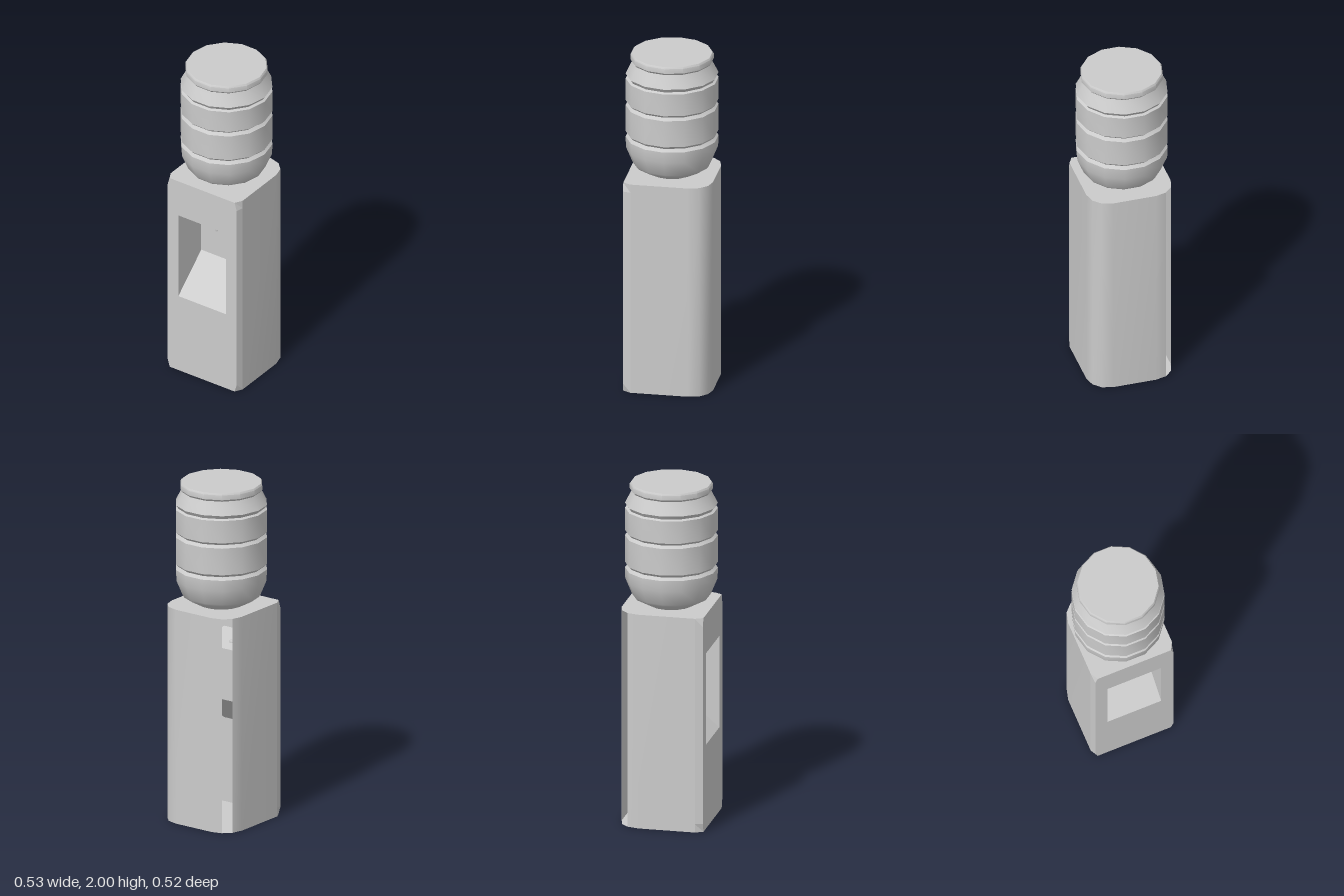
import * as THREE from 'three';
import { toCreasedNormals } from 'three/addons/utils/BufferGeometryUtils.js';

const H = 1.275, FRONT = 0.24;
const grey = new THREE.MeshStandardMaterial({ color: 0xcccccc, side: THREE.DoubleSide });

function add(group, name, geometry) {
  const mesh = new THREE.Mesh(geometry, grey);
  mesh.name = name;
  group.add(mesh);
  return mesh;
}

// Strip of quads between [bottom, top] point pairs, listed left to right as seen from outside
function strip(pairs, flat = true) {
  const index = [];
  for (let i = 0; i < pairs.length - 1; i++) {
    const a = 2 * i;
    index.push(a, a + 2, a + 3, a, a + 3, a + 1);
  }
  let geo = new THREE.BufferGeometry();
  geo.setAttribute('position', new THREE.Float32BufferAttribute(pairs.flat(2), 3));
  geo.setIndex(index);
  if (flat) geo = geo.toNonIndexed();
  geo.computeVertexNormals();
  return geo;
}

const upright = ([x, z]) => [[x, 0, z], [x, H, z]];

function createCabinet() {
  const g = new THREE.Group();
  g.name = 'cabinet';

  // Sides and rounded back, with a narrow open slot at one rear corner
  const corner = [[0.25, -0.135], [0.233, -0.2], [0.19, -0.243], [0.127, -0.26]];
  const mirrored = corner.map(([x, z]) => [-x, z]).reverse();
  const leftEnd = [0.25, 0.195], rightEnd = [-0.25, 0.195];
  add(g, 'sideAndBackWall', strip([leftEnd, ...corner, ...mirrored.slice(0, 2)].map(upright), false));
  add(g, 'oppositeSideWall', strip([...mirrored.slice(2), rightEnd].map(upright), false));

  // Top deck and floor
  const outline = [[-0.225, FRONT], [0.225, FRONT], leftEnd, ...corner, ...mirrored, rightEnd];
  const plan = new THREE.Shape(outline.map(([x, z]) => new THREE.Vector2(x, -z)));
  add(g, 'topDeck', new THREE.ShapeGeometry(plan).rotateX(-Math.PI / 2).translate(0, H, 0));
  const floor = new THREE.Shape(outline.map(([x, z]) => new THREE.Vector2(x, z)));
  add(g, 'floor', new THREE.ShapeGeometry(floor).rotateX(Math.PI / 2));

  // Front panel with clipped corners and the niche opening
  const edge = [[0.225, 0], [0.24, 0.05], [0.24, H - 0.05], [0.225, H]];
  const left = edge.map(([x, y]) => [-x, y]).reverse();
  const panel = new THREE.Shape([...edge, ...left].map(([x, y]) => new THREE.Vector2(x, y)));
  const N = 0.165, bottom = 0.5, top = 1.045;
  panel.holes.push(new THREE.Path([[-N, bottom], [-N, top], [N, top], [N, bottom]]
    .map(([x, y]) => new THREE.Vector2(x, y))));
  add(g, 'frontPanel', new THREE.ShapeGeometry(panel).translate(0, 0, FRONT));

  // Chamfers joining the front panel to the sides
  for (const s of [1, -1]) {
    const rows = edge.map(([x, y]) => [[s * x, y, FRONT], [s * 0.25, y, 0.195]]);
    add(g, 'frontChamfer', strip(s > 0 ? rows.reverse() : rows));
  }

  // Niche: side walls and back, sloped ramp below, sloped ceiling above
  const B = 0.015, low = 0.695, high = 1.0;
  add(g, 'nicheWalls', strip([
    [[-N, bottom, FRONT], [-N, top, FRONT]], [[-N, low, B], [-N, high, B]],
    [[N, low, B], [N, high, B]], [[N, bottom, FRONT], [N, top, FRONT]]]));
  add(g, 'nicheRamp', strip([[[-N, bottom, FRONT], [-N, low, B]], [[N, bottom, FRONT], [N, low, B]]]));
  add(g, 'nicheCeiling', strip([[[-N, high, B], [-N, top, FRONT]], [[N, high, B], [N, top, FRONT]]]));
  return g;
}

function createTap() {
  const g = new THREE.Group();
  g.name = 'tap';
  // Tapered spout hanging from the niche ceiling
  const profile = [[0, 0.93], [0.009, 0.93], [0.012, 0.975], [0.017, 0.985], [0.017, 1.022], [0.012, 1.03], [0, 1.03]]
    .map(([r, y]) => new THREE.Vector2(r, y));
  add(g, 'tapSpout', toCreasedNormals(new THREE.LatheGeometry(profile, 10), 0.7));
  // Thin sideways lever
  add(g, 'tapLever', new THREE.CylinderGeometry(0.004, 0.004, 0.1, 6).rotateZ(Math.PI / 2).translate(0.06, 0.985, 0));
  g.position.z = 0.1;
  return g;
}

function createBottle() {
  // Ribbed bottle, neck down, fourteen sides
  const profile = [
    [0.12, 1.27], [0.215, 1.322], [0.225, 1.335], [0.262, 1.425], [0.264, 1.49],
    [0.248, 1.507], [0.264, 1.523], [0.264, 1.682], [0.248, 1.698], [0.264, 1.713],
    [0.264, 1.846], [0.25, 1.854], [0.264, 1.875], [0.226, 1.95],
    [0.237, 1.962], [0.237, 1.99], [0.23, 2], [0, 2],
  ].map(([r, y]) => new THREE.Vector2(r, y));
  return toCreasedNormals(new THREE.LatheGeometry(profile, 14, Math.PI / 2), 0.65);
}

export function createModel() {
  const model = new THREE.Group();
  model.name = 'waterCooler';
  model.add(createCabinet(), createTap());
  add(model, 'waterBottle', createBottle());
  return model;
}
